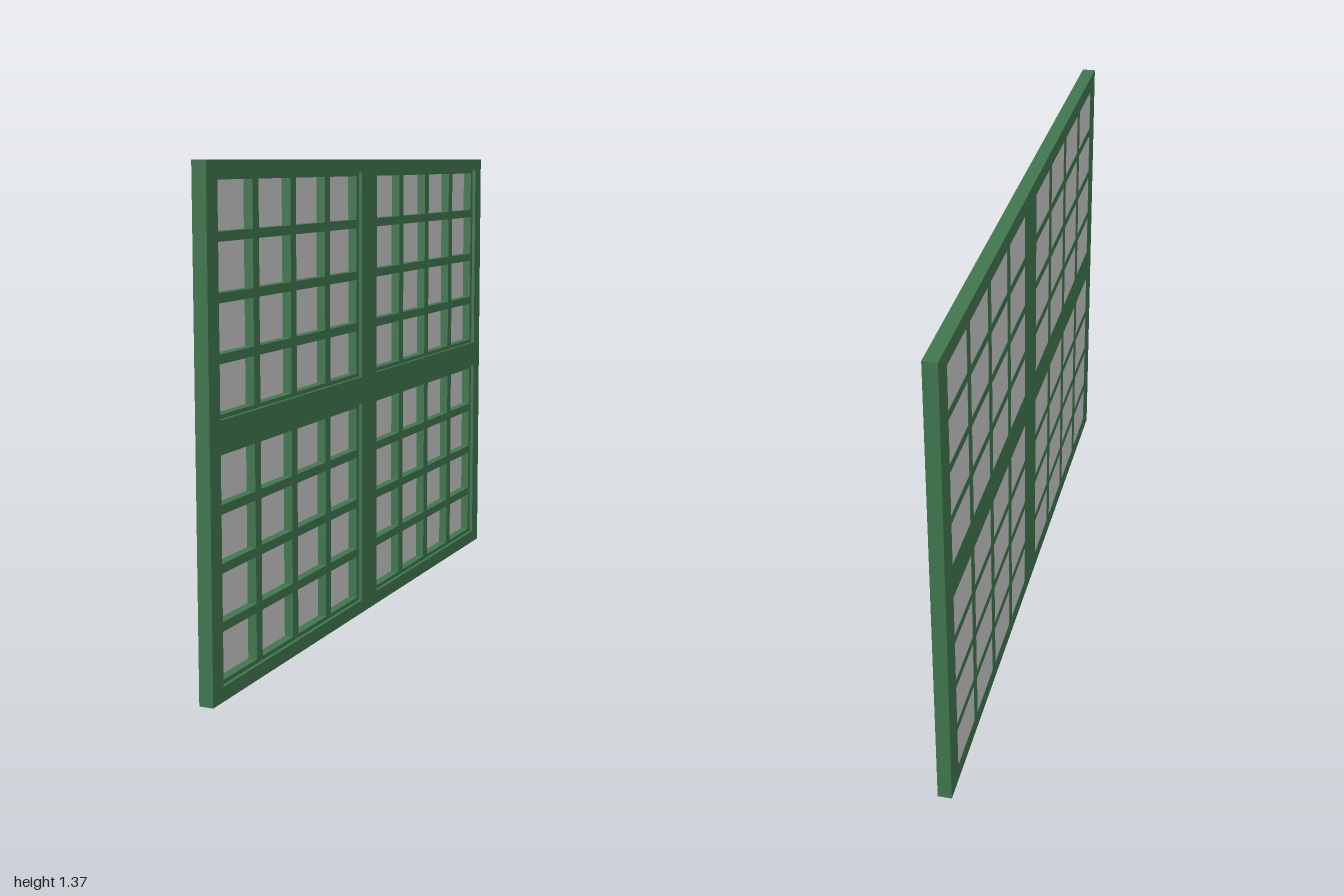
import * as THREE from 'three';

const HEIGHT = 1.368, HALF_DEPTH = 0.02;
const OPEN_W = 0.888, OPEN_H = 0.605;       // one sash opening
const RIM_W = 0.019, RIM_H = 0.011;         // sash rim around the panes
const PANE_W = 0.187, PANE_H = 0.127;
const N = 4;                                // panes per row and column

const green = new THREE.MeshStandardMaterial({ color: 0x40764f });
const grey = new THREE.MeshStandardMaterial({ color: 0xcccccc });

function rectangle(cx, cy, w, h, PathType = THREE.Path) {
  const path = new PathType();
  path.moveTo(cx - w / 2, cy - h / 2);
  path.lineTo(cx + w / 2, cy - h / 2);
  path.lineTo(cx + w / 2, cy + h / 2);
  path.lineTo(cx - w / 2, cy + h / 2);
  path.closePath();
  return path;
}

// Plate in the z-y plane with rectangular holes, spanning x0..x1
function plate(outline, holes, x0, x1, name) {
  outline.holes.push(...holes);
  const geo = new THREE.ExtrudeGeometry(outline, { depth: x1 - x0, bevelEnabled: false });
  geo.translate(0, 0, x0);
  geo.rotateY(Math.PI / 2);
  const mesh = new THREE.Mesh(geo, green);
  mesh.name = name;
  return mesh;
}

// Centres of the N x N panes, relative to the middle of a sash
function paneCentres() {
  const stepX = (OPEN_W - 2 * RIM_W - PANE_W) / (N - 1);
  const stepY = (OPEN_H - 2 * RIM_H - PANE_H) / (N - 1);
  const list = [];
  for (let i = 0; i < N; i++)
    for (let j = 0; j < N; j++)
      list.push([(i - (N - 1) / 2) * stepX, (j - (N - 1) / 2) * stepY]);
  return list;
}

// Recessed glazing grid with its glass, flush with the frame at the back
function createSash(z, y) {
  const sash = new THREE.Group();
  sash.name = 'sash';
  const centres = paneCentres();
  const holes = centres.map(([px, py]) => rectangle(px, py, PANE_W, PANE_H));
  sash.add(plate(rectangle(0, 0, OPEN_W, OPEN_H, THREE.Shape), holes, -HALF_DEPTH, 0.01, 'glazingBars'));
  const glass = new THREE.BoxGeometry(0.003, PANE_H, PANE_W);
  for (const [px, py] of centres) {
    const pane = new THREE.Mesh(glass, grey);
    pane.name = 'pane';
    pane.position.set(-0.0175, py, -px);
    sash.add(pane);
  }
  sash.position.set(0, y, z);
  return sash;
}

export function createModel() {
  const model = new THREE.Group();
  model.name = 'window';

  const openings = [];
  for (const z of [-0.5, 0.5])
    for (const y of [0.342, 1.028]) openings.push([z, y]);

  // Outer frame with the central post and cross rail
  model.add(plate(
    rectangle(0, HEIGHT / 2, 2, HEIGHT, THREE.Shape),
    openings.map(([z, y]) => rectangle(z, y, OPEN_W, OPEN_H)),
    -HALF_DEPTH, HALF_DEPTH, 'frame'));

  for (const [z, y] of openings) model.add(createSash(z, y));
  return model;
}
